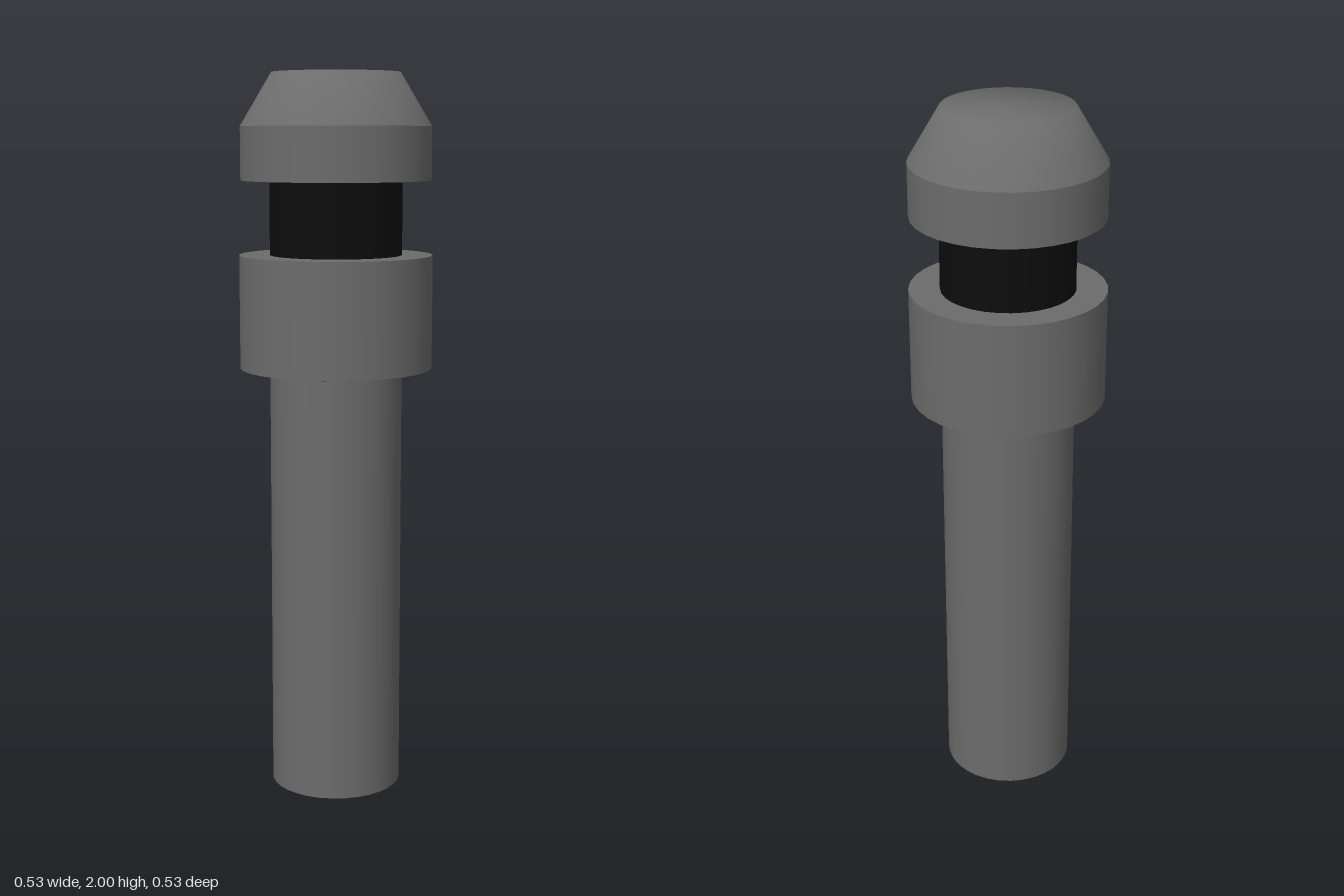
import * as THREE from 'three';

const SIDES = 32;
const steel = new THREE.MeshStandardMaterial({ color: 0x6c6c6c });
const black = new THREE.MeshStandardMaterial({ color: 0x0d0d0d });

// Turned surface through [radius, height] points, listed bottom to top.
// Smooth within one profile; separate profiles meet at a sharp edge.
function turned(name, profile, material = steel) {
  const points = profile.map(([r, y]) => new THREE.Vector2(r, y));
  const mesh = new THREE.Mesh(new THREE.LatheGeometry(points, SIDES), material);
  mesh.name = name;
  return mesh;
}

function part(name, ...meshes) {
  const group = new THREE.Group();
  group.name = name;
  group.add(...meshes);
  return group;
}

export function createModel() {
  const model = new THREE.Group();
  model.name = 'pin';

  // Long plain shaft
  model.add(part('shaft',
    turned('shaftEnd', [[0, 0], [0.183, 0]]),
    turned('shaftWall', [[0.183, 0], [0.183, 1.19]])));

  // Wide collar with a slightly sloping underside
  model.add(part('collar',
    turned('collarUnderside', [[0.183, 1.185], [0.266, 1.198]]),
    turned('collarWall', [[0.266, 1.198], [0.266, 1.51]]),
    turned('collarTop', [[0.266, 1.51], [0.182, 1.51]])));

  // Dark recessed neck
  model.add(turned('neck', [[0.182, 1.51], [0.182, 1.712]], black));

  // Head with a tapered crown, softly shaded over the flat tip
  model.add(part('head',
    turned('headUnderside', [[0.182, 1.712], [0.261, 1.712]]),
    turned('headWall', [[0.261, 1.712], [0.261, 1.857]]),
    turned('crown', [[0.261, 1.857], [0.175, 2], [0, 2]])));

  return model;
}
